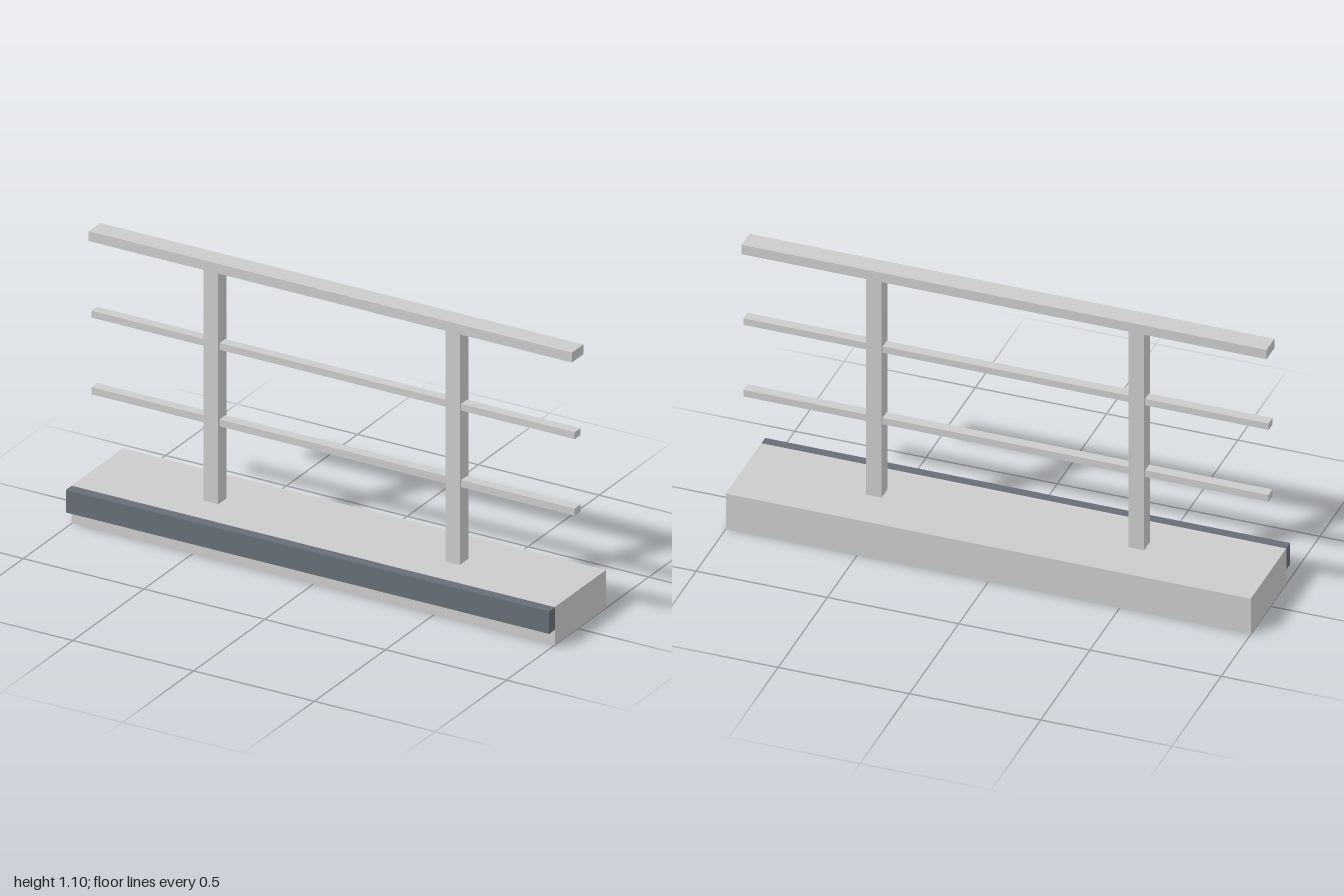
import * as THREE from 'three';

export function createModel() {
  const model = new THREE.Group();
  model.name = 'railingSection';
  const grey = new THREE.MeshStandardMaterial({ color: 0xcccccc });
  const slate = new THREE.MeshStandardMaterial({ color: 0x666e78 });

  // Box given by its centre x, width, and y and z ranges
  const addBox = (name, x, width, [y0, y1], [z0, z1], material = grey) => {
    const mesh = new THREE.Mesh(new THREE.BoxGeometry(width, y1 - y0, z1 - z0), material);
    mesh.position.set(x, (y0 + y1) / 2, (z0 + z1) / 2);
    mesh.name = name;
    model.add(mesh);
  };

  // Slab with a dark strip along its front edge
  addBox('baseSlab', 0, 2, [0, 0.15], [-0.2, 0.16]);
  addBox('frontFascia', 0, 2, [0.06, 0.149], [0.16, 0.2], slate);

  // Two posts carrying the handrail
  for (const [name, x] of [['rightPost', -0.5], ['leftPost', 0.5]]) {
    addBox(name, x, 0.06, [0.15, 1.065], [-0.03, 0.03]);
  }
  addBox('handrail', 0, 2, [1.065, 1.104], [-0.04, 0.04]);

  // Thin rails running through the posts
  addBox('lowerRail', 0, 2, [0.453, 0.481], [-0.02, 0.02]);
  addBox('upperRail', 0, 2, [0.755, 0.782], [-0.02, 0.02]);

  return model;
}
